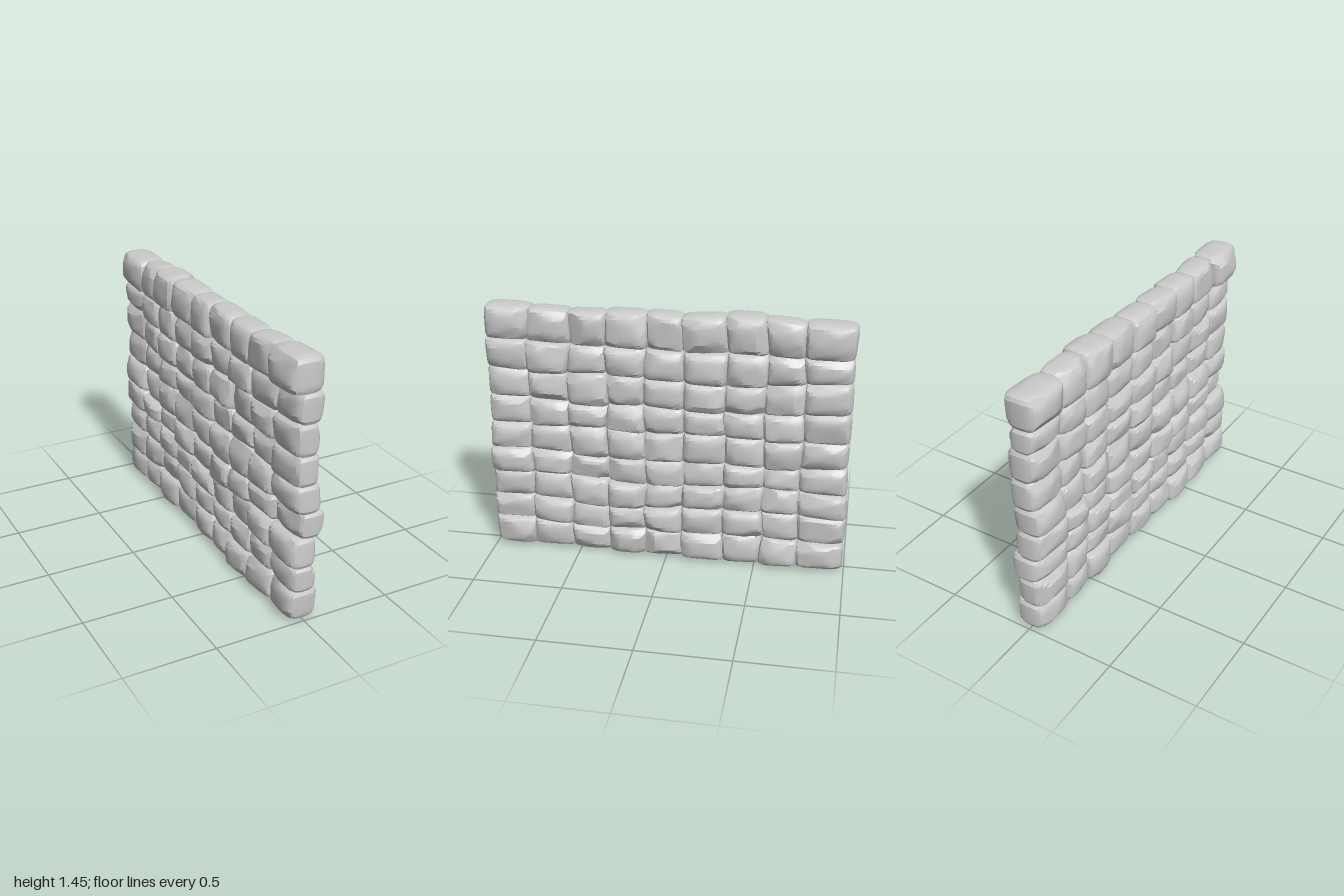
import * as THREE from 'three';
import { toCreasedNormals } from 'three/addons/utils/BufferGeometryUtils.js';

// Joint lines between columns (z) and, for every course line, heights at each column (y)
const JOINT_Z = [0.995, 0.76, 0.54, 0.33, 0.12, -0.09, -0.32, -0.53, -0.74, -0.985];
const COURSE_Y = [
  [0.02, 0.02, 0.01, 0.02, 0.02, 0.02, 0.01, 0.02, 0.02],
  [0.18, 0.19, 0.15, 0.18, 0.17, 0.17, 0.20, 0.17, 0.17],
  [0.32, 0.33, 0.30, 0.30, 0.31, 0.34, 0.33, 0.35, 0.33],
  [0.48, 0.48, 0.48, 0.44, 0.46, 0.46, 0.49, 0.49, 0.47],
  [0.62, 0.63, 0.59, 0.60, 0.60, 0.61, 0.61, 0.60, 0.63],
  [0.77, 0.77, 0.79, 0.77, 0.76, 0.79, 0.77, 0.77, 0.78],
  [0.93, 0.93, 0.90, 0.93, 0.92, 0.91, 0.92, 0.92, 0.95],
  [1.10, 1.07, 1.10, 1.09, 1.08, 1.07, 1.07, 1.09, 1.12],
  [1.26, 1.25, 1.24, 1.25, 1.24, 1.24, 1.26, 1.24, 1.25],
  [1.44, 1.43, 1.42, 1.44, 1.43, 1.43, 1.46, 1.43, 1.43],
];
// Sideways offset and half depth of the stones on the front end and along the top course
const END_X = [0.005, -0.005, -0.012, 0.03, 0, -0.005, -0.008, 0.01, -0.02];
const END_DEPTH = [0.098, 0.083, 0.086, 0.084, 0.088, 0.08, 0.081, 0.084, 0.108];
const TOP_X = [-0.02, -0.012, -0.012, -0.012, -0.02, -0.01, -0.017, -0.01, -0.008];
const TOP_DEPTH = [0.108, 0.091, 0.091, 0.091, 0.093, 0.097, 0.108, 0.093, 0.106];
const N = 9;

let seed = 7;
function rand(a, b) {
  seed = (seed * 16807) % 2147483647;
  return a + (b - a) * (seed / 2147483647);
}

// Unit pillow block with hewn facets, in the range -1..1
function hewnBlock() {
  const geo = new THREE.BoxGeometry(2, 2, 2, 7, 7, 7);
  const pos = geo.attributes.position;
  const points = [];
  for (let i = 0; i < pos.count; i++) {
    const p = new THREE.Vector3().fromBufferAttribute(pos, i);
    const face = Math.pow(Math.abs(p.y), 8) + Math.pow(Math.abs(p.z), 8);
    const r = Math.pow(Math.pow(face, 3.4 / 8) + Math.pow(Math.abs(p.x), 3.4), 1 / 3.4);
    points.push(p.divideScalar(r));
  }
  // Chisel cuts: flatten everything beyond a sloping plane
  for (let k = 0; k < 10; k++) {
    const n = new THREE.Vector3(k % 2 ? 1 : -1, rand(-0.8, 0.8), rand(-0.7, 0.7)).normalize();
    const reach = Math.max(...points.map((p) => p.dot(n)));
    const limit = reach * rand(0.89, 0.98);
    for (const p of points) {
      const over = p.dot(n) - limit;
      if (over > 0) p.addScaledVector(n, -over);
    }
  }
  points.forEach((p, i) => pos.setXYZ(i, p.x, p.y, p.z));
  return geo;
}

// Height of a course line at one side of a stone, leaning towards its neighbour
function cornerY(line, col, side) {
  const own = COURSE_Y[line][col];
  const next = COURSE_Y[line][Math.min(N - 1, Math.max(0, col + side))];
  return own + 0.4 * (next - own);
}

export function createModel() {
  const wall = new THREE.Group();
  wall.name = 'stoneWall';
  const material = new THREE.MeshStandardMaterial({ color: 0xcccccc });
  const { lerp } = THREE.MathUtils;

  // Wandering vertical joints shared by neighbouring stones
  const jointZ = Array.from({ length: N + 1 }, () =>
    JOINT_Z.map((z, c) => z + (c === 0 || c === N ? rand(-0.01, 0.004) * Math.sign(z) : rand(-0.012, 0.012))));

  for (let row = 0; row < N; row++) {
    const course = new THREE.Group();
    course.name = `course${row + 1}`;
    wall.add(course);
    for (let col = 0; col < N; col++) {
      const geo = hewnBlock();
      const pos = geo.attributes.position;
      let cx = rand(-0.012, 0.018);
      let halfDepth = rand(0.089, 0.101);
      if (row === N - 1) [cx, halfDepth] = [TOP_X[col], TOP_DEPTH[col]];
      else if (col === 0) [cx, halfDepth] = [END_X[row], END_DEPTH[row]];
      const twist = rand(-0.008, 0.008);
      const lean = rand(-0.006, 0.006);
      // Fit the block into its four-cornered cell
      for (let i = 0; i < pos.count; i++) {
        const v = (pos.getY(i) * 1.08 + 1) / 2;
        const u = (pos.getZ(i) * 1.08 + 1) / 2;
        const low = lerp(cornerY(row, col, 1), cornerY(row, col, -1), u);
        const high = lerp(cornerY(row + 1, col, 1), cornerY(row + 1, col, -1), u);
        const back = lerp(jointZ[row][col + 1], jointZ[row + 1][col + 1], v);
        const front = lerp(jointZ[row][col], jointZ[row + 1][col], v);
        pos.setXYZ(i, cx + pos.getX(i) * halfDepth + twist * (2 * u - 1) + lean * (2 * v - 1),
          lerp(low, high, v), lerp(back, front, u));
      }
      const stone = new THREE.Mesh(toCreasedNormals(geo, 0.4), material);
      stone.name = `stone${row + 1}_${col + 1}`;
      course.add(stone);
    }
  }

  // Stand the wall on the ground
  wall.position.y = -new THREE.Box3().setFromObject(wall).min.y;
  return wall;
}
